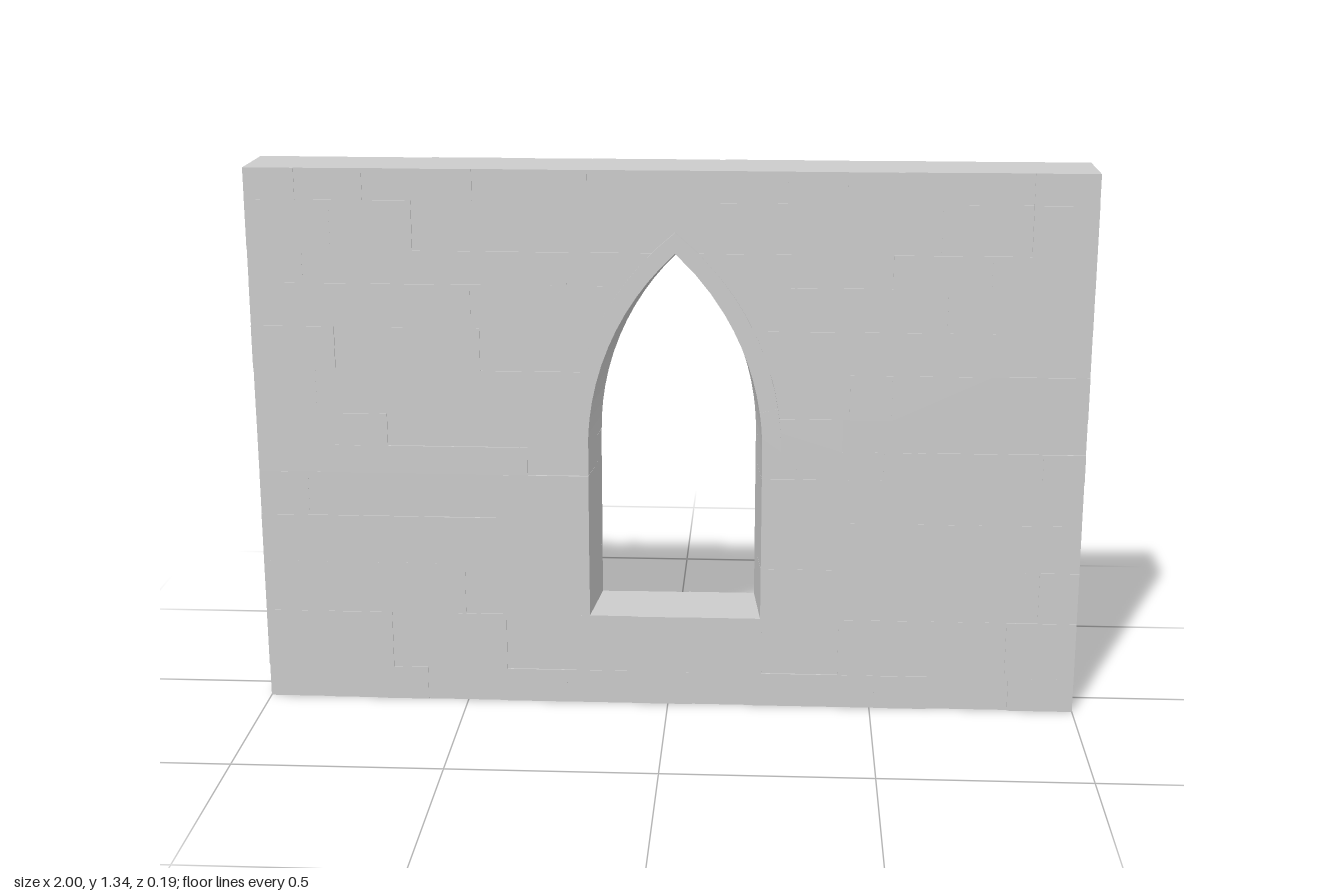
import * as THREE from 'three';

const CX = 0.0175, SILL = 0.23, SPRING = 0.66, APEX = 1.14;
const HALF_FRONT = 0.21, HALF_BACK = 0.1925; // the opening narrows towards the back

// Courses from the ground up: [bottom, top, joints]
const COURSES = [
  [0, 0.085, [-0.86, -0.73, -0.6, -0.42, -0.25, -0.085, 0.06, 0.2, 0.36, 0.51, 0.64, 0.84]],
  [0.085, SILL, [-0.84, -0.685, -0.52, -0.4, -0.235, -0.09, 0.045, 0.232, 0.42, 0.63, 0.83]],
  [SILL, 0.36, [-0.73, -0.5, -0.33, 0.4, 0.66, 0.905]],
  [0.36, 0.48, [-0.8, -0.55, -0.295, 0.345, 0.49, 0.76]],
  [0.48, 0.59, [-0.88, -0.64, -0.42, 0.38, 0.58, 0.82]],
  [0.59, SPRING, [-0.81, -0.57, -0.34, 0.31, 0.52, 0.7, 0.9]],
  [SPRING, 0.74, [-0.8, -0.68, -0.54, -0.36, 0.42, 0.6, 0.755, 0.87]],
  [0.74, 0.85, [-0.85, -0.65, -0.42, 0.435, 0.535, 0.77]],
  [0.85, 0.955, [-0.8, -0.66, -0.45, 0.38, 0.6, 0.815]],
  [0.955, 1.06, [-0.83, -0.63, -0.47, -0.32, 0.3, 0.47, 0.66, 0.83]],
  [1.06, APEX, [-0.87, -0.66, -0.43, -0.24, 0.29, 0.53, 0.76]],
  [APEX, 1.26, [-0.8, -0.605, -0.42, -0.225, 0.085, 0.32, 0.435, 0.64, 0.85]],
  [1.26, 1.335, [-0.88, -0.72, -0.58, -0.46, -0.33, -0.19, 0.012, 0.13, 0.28, 0.42, 0.55, 0.7, 0.85]],
];

let seed = 7;
function random() {
  seed = (seed * 16807) % 2147483647;
  return seed / 2147483647;
}

// Solid between a front outline and a matching back outline
function prism(front, back, zFront, zBack) {
  if (THREE.ShapeUtils.isClockWise(front)) {
    front = [...front].reverse();
    back = [...back].reverse();
  }
  const pos = [];
  const put = (p, z) => pos.push(p.x, p.y, z);
  for (const [a, b, c] of THREE.ShapeUtils.triangulateShape(front, [])) {
    [a, b, c].forEach((i) => put(front[i], zFront));
    [c, b, a].forEach((i) => put(back[i], zBack));
  }
  for (let i = 0; i < front.length; i++) {
    const j = (i + 1) % front.length;
    put(front[i], zFront); put(back[i], zBack); put(back[j], zBack);
    put(front[i], zFront); put(back[j], zBack); put(front[j], zFront);
  }
  const geometry = new THREE.BufferGeometry();
  geometry.setAttribute('position', new THREE.Float32BufferAttribute(pos, 3));
  geometry.computeVertexNormals();
  return geometry;
}

// Half width of a pointed arch at height h above its springing
function archHalf(half, rise, h) {
  const r = (rise * rise + half * half) / (2 * half);
  return Math.max(0, Math.sqrt(Math.max(0, r * r - h * h)) - r + half);
}

// Point on one side of a pointed arch, t from springing (0) to apex (1)
function archPoint(side, half, rise, t) {
  return new THREE.Vector2(CX + side * archHalf(half, rise, rise * t), SPRING + rise * t);
}

export function createModel() {
  const model = new THREE.Group();
  const material = new THREE.MeshStandardMaterial({ color: 0xcccccc, flatShading: true });
  const add = (group, name, geometry) => {
    const mesh = new THREE.Mesh(geometry, material);
    mesh.name = name;
    group.add(mesh);
  };
  const v = (x, y) => new THREE.Vector2(x, y);

  // Stone courses, each block with its own slight depth
  COURSES.forEach(([y0, y1, joints], row) => {
    const course = new THREE.Group();
    course.name = `course${row + 1}`;
    model.add(course);
    const block = (front, back = front) =>
      add(course, 'stone', prism(front, back, 0.087 + random() * 0.006, -0.087 - random() * 0.006));
    const rect = (a, b) => block([v(a, y0), v(b, y0), v(b, y1), v(a, y1)]);

    if (y0 < SILL || y0 >= APEX) {
      const xs = [-1, ...joints, 1];
      for (let i = 0; i + 1 < xs.length; i++) rect(xs[i], xs[i + 1]);
      return;
    }
    // Courses beside the opening run outwards to each wall end
    for (const side of [-1, 1]) {
      const xs = [...joints.filter((x) => (x - CX) * side > 0), side]
        .sort((a, b) => (a - b) * side);
      for (let i = 0; i + 1 < xs.length; i++) {
        rect(Math.min(xs[i], xs[i + 1]), Math.max(xs[i], xs[i + 1]));
      }
      // Block meeting the jamb, or tucked in behind the arch ring
      const edge = (half) => {
        const pts = [v(xs[0], y1), v(xs[0], y0)];
        for (let k = 0; k <= 3; k++) {
          const y = y0 + ((y1 - y0) * k) / 3;
          pts.push(v(CX + side * (y0 < SPRING ? half : archHalf(0.232, 0.505, y - SPRING)), y));
        }
        return pts;
      };
      block(edge(HALF_FRONT), edge(HALF_BACK));
    }
  });

  // Arch ring of wedge stones
  const ring = new THREE.Group();
  ring.name = 'archRing';
  model.add(ring);
  for (const side of [-1, 1]) {
    const cuts = side < 0 ? [0, 0.24, 0.53, 0.78, 1] : [0, 0.2, 0.45, 0.7, 1];
    for (let i = 0; i < 4; i++) {
      const outline = (half, rise) => {
        const inner = [], outer = [];
        for (let k = 0; k <= 3; k++) {
          const t = cuts[i] + ((cuts[i + 1] - cuts[i]) * k) / 3;
          inner.push(archPoint(side, half, rise, t));
          outer.unshift(archPoint(side, 0.255, 0.53, t));
        }
        return [...inner, ...outer];
      };
      add(ring, 'archStone', prism(outline(HALF_FRONT, APEX - SPRING), outline(HALF_BACK, 0.45),
        0.0935 + random() * 0.002, -0.0935 - random() * 0.002));
    }
  }
  return model;
}
